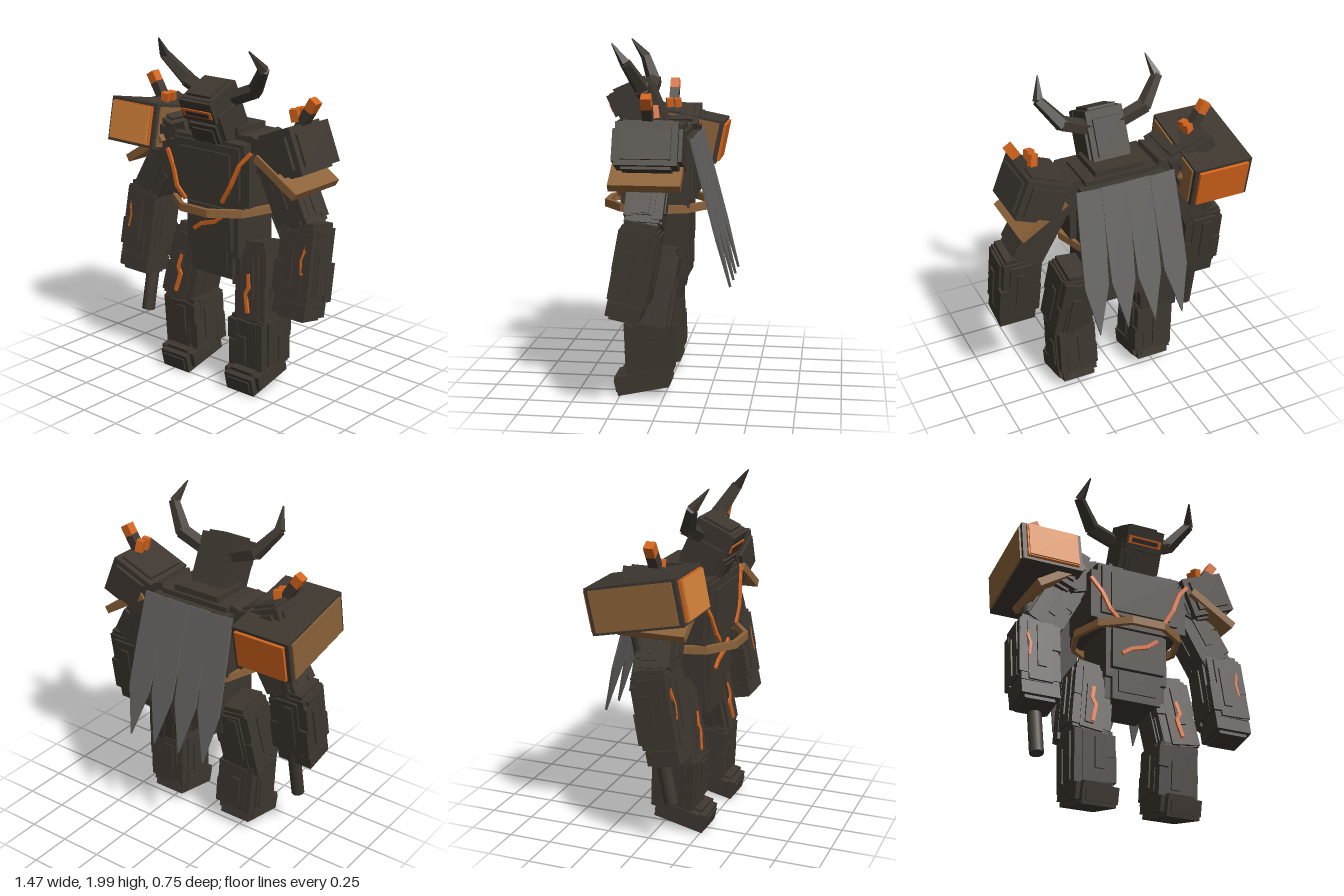
import * as THREE from 'three';

const paint = (name, color) => {
  const m = new THREE.MeshStandardMaterial({ color });
  m.name = name;
  return m;
};
const V = (x, y, z) => new THREE.Vector3(x, y, z);
const UP = V(0, 1, 0);

export function createModel() {
  const rock = paint('charred rock', 0x3e3730);
  const dark = paint('dark stone', 0x322d29);
  const bronze = paint('bronze', 0x8c6239);
  const ember = paint('ember', 0xd4641c);
  const amber = paint('amber', 0xd3823a);
  const cloth = paint('grey cloth', 0x62615e);

  const model = new THREE.Group();
  model.name = 'stoneWarrior';
  const body = new THREE.Group();
  body.name = 'body';
  body.position.x = 0.015;
  model.add(body);

  let seed = 7;
  const rand = (a, b) => {
    seed = (seed * 16807) % 2147483647;
    return a + (b - a) * (seed / 2147483647);
  };

  const add = (parent, name, geo, mat, p = [0, 0, 0], r = [0, 0, 0]) => {
    const mesh = new THREE.Mesh(geo, mat);
    mesh.name = name;
    mesh.position.set(...p);
    mesh.rotation.set(...r);
    parent.add(mesh);
    return mesh;
  };
  const box = (parent, name, size, mat, p, r) =>
    add(parent, name, new THREE.BoxGeometry(...size), mat, p, r);
  const group = (parent, name, p, r = [0, 0, 0]) => {
    const g = new THREE.Group();
    g.name = name;
    g.position.set(...p);
    g.rotation.set(...r);
    parent.add(g);
    return g;
  };

  // Glowing crack: a chain of thin bars along a few points
  const crack = (name, pts, width = 0.022) => {
    const g = group(body, name, [0, 0, 0]);
    for (let i = 0; i + 1 < pts.length; i++) {
      const a = V(...pts[i]), b = V(...pts[i + 1]);
      const bar = box(g, 'crackBar', [width, a.distanceTo(b) + 0.012, 0.014], ember,
        a.clone().lerp(b, 0.5).toArray());
      bar.quaternion.setFromUnitVectors(UP, a.sub(b).normalize());
    }
  };

  // Limb of layered stone slabs running from a down to b
  const limb = (name, from, to, w, d) => {
    const a = V(...from), b = V(...to), h = a.distanceTo(b);
    const g = group(body, name, a.clone().lerp(b, 0.5).toArray());
    g.quaternion.setFromUnitVectors(UP, a.sub(b).normalize());
    box(g, 'core', [w * 0.74, h, d * 0.76], rock);
    box(g, 'midSlab', [w * 0.84, h * 0.88, d * 0.84], rock);
    box(g, 'sideSlab', [w * 0.95, h * 0.76, d * 0.56], rock, [0, h * 0.03, 0]);
    box(g, 'frontSlab', [w * 0.54, h * 0.82, d * 0.94], rock, [0, -h * 0.02, 0]);
    for (const s of [-1, 1]) {
      box(g, 'faceRib', [w * 0.2, h * rand(0.45, 0.6), d * 0.06], rock,
        [w * rand(-0.12, 0.12), h * rand(-0.12, 0.1), s * d * 0.48]);
      box(g, 'sideRib', [w * 0.06, h * rand(0.45, 0.6), d * 0.2], rock,
        [s * w * 0.48, h * rand(-0.12, 0.1), d * rand(-0.12, 0.12)]);
      for (const sz of [-1, 1]) for (const sy of [-1, 1])
        box(g, 'shard', [w * rand(0.2, 0.27), h * rand(0.34, 0.48), d * rand(0.2, 0.27)], rock,
          [s * w * rand(0.31, 0.36), sy * h * rand(0.16, 0.22), sz * d * rand(0.31, 0.36)]);
    }
  };

  // Torso
  const chest = group(body, 'chest', [0, 1.27, 0.055]);
  box(chest, 'chestCore', [0.52, 0.38, 0.38], rock);
  box(chest, 'ribSlab', [0.6, 0.3, 0.3], rock, [0, -0.01, 0.04]);
  box(chest, 'breastPlate', [0.48, 0.3, 0.03], rock, [0, 0.02, 0.195]);
  box(chest, 'breastInset', [0.37, 0.24, 0.03], rock, [0, 0.01, 0.21]);
  box(chest, 'backPlate', [0.4, 0.3, 0.03], rock, [0, 0, -0.195]);
  box(body, 'collarLower', [0.44, 0.05, 0.26], rock, [0, 1.465, 0.03]);
  box(body, 'collarUpper', [0.3, 0.05, 0.24], rock, [0, 1.5, 0.04]);
  const waist = group(body, 'waist', [0, 0.94, 0.06]);
  box(waist, 'waistCore', [0.38, 0.32, 0.3], rock);
  box(waist, 'bellyPlate', [0.32, 0.24, 0.36], rock, [0, 0.01, 0]);
  const pelvis = group(body, 'pelvis', [0, 0.75, 0.05]);
  box(pelvis, 'pelvisCore', [0.37, 0.19, 0.27], rock);
  box(pelvis, 'pelvisPlate', [0.3, 0.2, 0.32], rock);
  box(pelvis, 'pelvisInset', [0.23, 0.13, 0.34], rock, [0, 0.01, 0]);
  crack('bellyCrack', [[-0.1, 0.92, 0.247], [-0.05, 0.955, 0.247], [0.05, 0.985, 0.247], [0.11, 1.03, 0.247]]);
  crack('leftChestCrack', [[0.31, 1.42, 0.25], [0.25, 1.35, 0.27], [0.2, 1.23, 0.285], [0.14, 1.13, 0.285]]);
  crack('rightChestCrack', [[-0.3, 1.35, 0.25], [-0.24, 1.26, 0.27], [-0.2, 1.16, 0.285], [-0.14, 1.1, 0.285]]);

  // Ten-sided belt ring
  const ring = new THREE.Shape(), hole = new THREE.Path();
  for (const [path, r] of [[ring, 0.322], [hole, 0.295]])
    path.setFromPoints(Array.from({ length: 10 }, (_, i) =>
      new THREE.Vector2(r * Math.cos(i * Math.PI / 5), r * Math.sin(i * Math.PI / 5))));
  ring.holes.push(hole);
  add(body, 'belt', new THREE.ExtrudeGeometry(ring, { depth: 0.045, bevelEnabled: false }),
    bronze, [0, 1.095, 0.066], [Math.PI / 2, 0, 0]);

  // Head, bowed forward, with a glowing visor
  const head = group(body, 'head', [0, 1.595, 0.175], [0.42, 0, 0]);
  box(head, 'skull', [0.225, 0.32, 0.22], rock);
  box(head, 'cheeks', [0.255, 0.21, 0.19], rock, [0, -0.05, 0.01]);
  box(head, 'brow', [0.23, 0.13, 0.05], rock, [0, 0.09, 0.105]);
  box(head, 'crown', [0.17, 0.03, 0.17], rock, [0, 0.16, 0]);
  box(head, 'jaw', [0.2, 0.15, 0.03], rock, [0, -0.07, 0.115]);
  box(head, 'jawInset', [0.15, 0.1, 0.02], rock, [0, -0.07, 0.13]);
  box(head, 'backOfHead', [0.16, 0.22, 0.02], rock, [0, 0, -0.115]);
  box(head, 'visorGlow', [0.205, 0.045, 0.008], ember, [0, 0.08, 0.132]);
  box(head, 'visorSlot', [0.165, 0.025, 0.008], dark, [0, 0.078, 0.135]);

  for (const s of [1, -1]) {
    const side = s > 0 ? 'left' : 'right';
    const M = (x, y, z) => [s * x, y, z];

    // Horn in three tapering pieces
    const hornPts = [[0.1, 1.685, 0.14], [0.25, 1.745, 0.135], [0.36, 1.88, 0.2], [0.327, 1.99, 0.283]];
    const radii = [0.045, 0.046, 0.032, 0.004];
    const horn = group(body, side + 'Horn', [0, 0, 0]);
    for (let i = 0; i < 3; i++) {
      const a = V(...M(...hornPts[i])), b = V(...M(...hornPts[i + 1]));
      const piece = add(horn, 'hornPiece',
        new THREE.CylinderGeometry(radii[i + 1], radii[i], a.distanceTo(b) + (i < 2 ? 0.015 : 0), 5).toNonIndexed(),
        rock, a.clone().lerp(b, 0.5).toArray());
      piece.geometry.computeVertexNormals();
      piece.quaternion.setFromUnitVectors(UP, b.sub(a).normalize());
    }

    // Shoulder block with strap and ember-tipped spikes
    const pad = group(body, side + 'Pauldron', M(0.47, 1.43, 0.055), [0, 0, s * 0.38]);
    box(pad, 'padCore', [0.28, 0.24, 0.34], rock);
    box(pad, 'padFront', [0.21, 0.18, 0.38], rock);
    box(pad, 'padSide', [0.31, 0.18, 0.27], rock);
    box(pad, 'padTop', [0.22, 0.27, 0.27], rock);
    box(body, side + 'ShoulderJoint', [0.2, 0.18, 0.26], rock, M(0.31, 1.39, 0.05), [0, 0, -s * 0.3]);
    box(body, side + 'ArmStrap', [0.32, 0.045, 0.39], bronze, M(0.485, 1.325, 0.065), [0, 0, -s * 0.56]);
    const spike = group(body, side + 'Spike', M(0.54, 1.63, 0.055), [0, 0, -s * 0.55]);
    box(spike, 'spikeStem', [0.055, 0.14, 0.055], rock, [0, -0.02, 0]);
    box(spike, 'spikeTip', [0.055, 0.07, 0.055], ember, [0, 0.08, 0]);
    for (const z of [0.025, 0.075])
      box(body, side + 'SmallSpike', [0.045, 0.07, 0.04], ember, M(0.478, s > 0 ? 1.635 : 1.59, z), [0.1, 0.3, s * 0.15]);

    // Arm
    limb(side + 'UpperArm', M(0.36, 1.39, 0.05), M(0.57, 1.0, 0.075), 0.22, 0.22);
    limb(side + 'Forearm', M(0.582, 1.06, 0.07), M(0.592, 0.6, 0.155), 0.26, 0.24);
    const fist = group(body, side + 'Fist', M(0.592, 0.585, 0.165), [-0.2, 0, 0]);
    box(fist, 'knuckles', [0.22, 0.08, 0.19], rock);
    box(fist, 'fingers', [0.175, 0.11, 0.15], rock, [0, -0.005, 0]);
    crack(side + 'ArmCrack', [M(0.645, 0.99, 0.19), M(0.655, 0.93, 0.202), M(0.642, 0.88, 0.213), M(0.652, 0.81, 0.226)], 0.013);

    // Leg
    limb(side + 'Thigh', M(0.228, 0.86, 0.03), M(0.288, 0.39, 0.105), 0.25, 0.27);
    limb(side + 'Shin', M(0.262, 0.47, 0.095), M(0.25, 0.11, 0.08), 0.27, 0.28);
    crack(side + 'ThighCrack', [M(0.255, 0.7, 0.192), M(0.27, 0.63, 0.207), M(0.25, 0.59, 0.212), M(0.275, 0.49, 0.227)]);
    const foot = group(body, side + 'Foot', M(0.25, 0.085, 0.125), [0.22, 0, 0]);
    box(foot, 'sole', [0.2, 0.11, 0.3], rock);
    box(foot, 'instep', [0.25, 0.09, 0.25], rock, [0, 0.015, -0.01]);
    box(foot, 'toeCap', [0.16, 0.07, 0.32], rock);
    box(foot, 'footTop', [0.16, 0.13, 0.23], rock, [0, 0.01, 0]);
  }

  // Cape of four pointed strips
  const cape = group(body, 'cape', [0, 1.465, -0.147], [0.26, 0, 0]);
  const strip = new THREE.Shape([[-0.076, 0], [-0.077, -0.3], [-0.072, -0.57], [0, -0.86], [0.072, -0.57], [0.077, -0.3], [0.076, 0]]
    .map(([x, y]) => new THREE.Vector2(x, y)));
  const stripGeo = new THREE.ExtrudeGeometry(strip, { depth: 0.014, bevelEnabled: false });
  for (let i = 0; i < 4; i++) {
    const x = (i - 1.5) * 0.148;
    add(cape, 'capeStrip', stripGeo, cloth, [x, 0, -0.01 + (i % 2) * 0.003], [0, 0, x * 0.2]);
  }

  // War hammer resting against the right shoulder
  const hammer = group(body, 'hammer', [-0.555, 1.42, 0.018], [-0.2, 0, 0]);
  box(hammer, 'hammerHead', [0.36, 0.26, 0.53], rock);
  add(hammer, 'hammerHandle', new THREE.CylinderGeometry(0.04, 0.04, 1.16, 10), rock, [-0.015, -0.575, -0.085]);
  for (const s of [1, -1]) {
    box(hammer, 'sidePlate', [0.012, 0.23, 0.48], bronze, [s * 0.184, 0, 0]);
    box(hammer, 'glowPlate', [0.31, 0.225, 0.025], ember, [0, 0, s * 0.27]);
  }
  box(hammer, 'strikeFace', [0.295, 0.215, 0.009], amber, [0, 0, 0.287]);

  return model;
}
